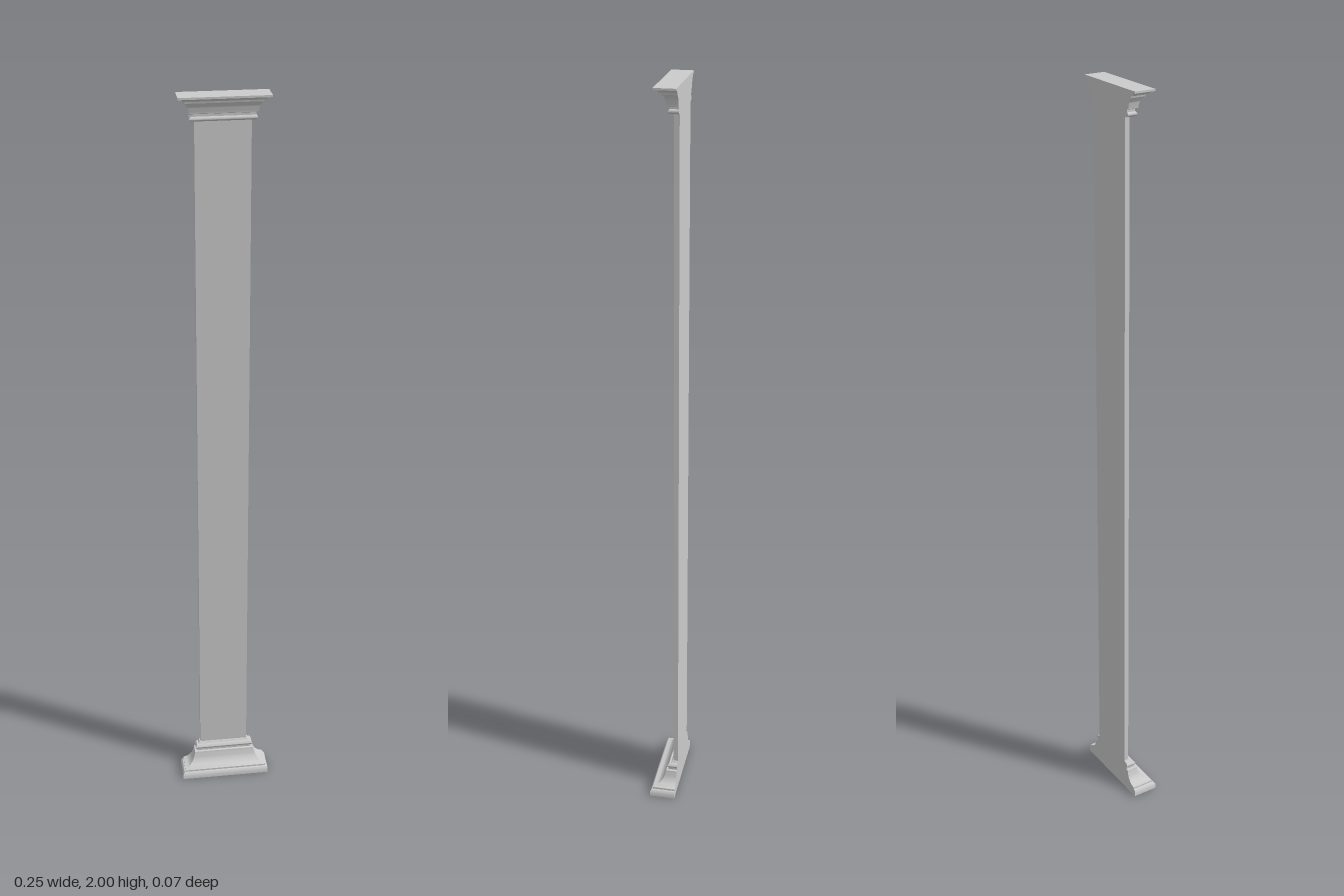
import * as THREE from 'three';
import { toCreasedNormals } from 'three/addons/utils/BufferGeometryUtils.js';

const HALF = 0.068;      // half width of the shaft
const BACK = -0.035;     // flat wall side
const FRONT = -0.022;    // front of the shaft
const BASE_TOP = 0.09;
const CAP_BOTTOM = 1.935;

const material = new THREE.MeshStandardMaterial({ color: 0xcccccc });

// Sweep a profile (x = projection from the shaft, y = height, bottom to top)
// round the front and both sides with mitred corners, with a flat back.
function mouldingGeometry(path) {
  const profile = path.getPoints(8);
  const positions = [];
  const indices = [];
  for (const { x: o, y } of profile) {
    const w = HALF + o;
    const z = FRONT + o;
    positions.push(-w, y, BACK, -w, y, z, w, y, z, w, y, BACK);
  }
  for (let i = 0; i < profile.length - 1; i++) {
    for (let j = 0; j < 4; j++) {
      const a = i * 4 + j;
      const b = i * 4 + (j + 1) % 4;
      indices.push(a, b, b + 4, a, b + 4, a + 4);
    }
  }
  // underside and top
  const t = (profile.length - 1) * 4;
  indices.push(0, 2, 1, 0, 3, 2, t, t + 1, t + 2, t, t + 2, t + 3);
  const geometry = new THREE.BufferGeometry();
  geometry.setAttribute('position', new THREE.Float32BufferAttribute(positions, 3));
  geometry.setIndex(indices);
  return toCreasedNormals(geometry, 0.6);
}

function addPart(group, name, geometry) {
  const mesh = new THREE.Mesh(geometry, material);
  mesh.name = name;
  group.add(mesh);
  return mesh;
}

export function createModel() {
  const group = new THREE.Group();
  group.name = 'pilaster';

  // Base: plinth, small step, sweeping cove and a rounded bead
  const base = new THREE.Path();
  base.moveTo(0.057, 0);
  base.lineTo(0.057, 0.014);
  base.quadraticCurveTo(0.056, 0.02, 0.05, 0.021);
  base.lineTo(0.05, 0.026);
  base.quadraticCurveTo(0.022, 0.03, 0.018, 0.066);
  base.lineTo(0.012, 0.067);
  base.lineTo(0.012, 0.073);
  base.quadraticCurveTo(0.019, 0.079, 0.011, 0.085);
  base.lineTo(0.006, 0.085);
  base.lineTo(0.003, BASE_TOP);
  addPart(group, 'base', mouldingGeometry(base));

  // Shaft: plain flat panel
  const depth = FRONT - BACK;
  const height = CAP_BOTTOM - BASE_TOP;
  const shaft = addPart(group, 'shaft', new THREE.BoxGeometry(HALF * 2, height, depth));
  shaft.position.set(0, BASE_TOP + height / 2, (FRONT + BACK) / 2);

  // Capital: bead, frieze, flared cove and top slab
  const cap = new THREE.Path();
  cap.moveTo(0.006, CAP_BOTTOM);
  cap.quadraticCurveTo(0.018, 1.94, 0.009, 1.947);
  cap.lineTo(0.009, 1.953);
  cap.lineTo(0.014, 1.955);
  cap.quadraticCurveTo(0.016, 1.976, 0.026, 1.982);
  cap.lineTo(0.026, 1.987);
  cap.lineTo(0.03, 1.987);
  cap.quadraticCurveTo(0.033, 1.994, 0.042, 1.995);
  cap.lineTo(0.042, 2);
  addPart(group, 'capital', mouldingGeometry(cap));

  return group;
}
